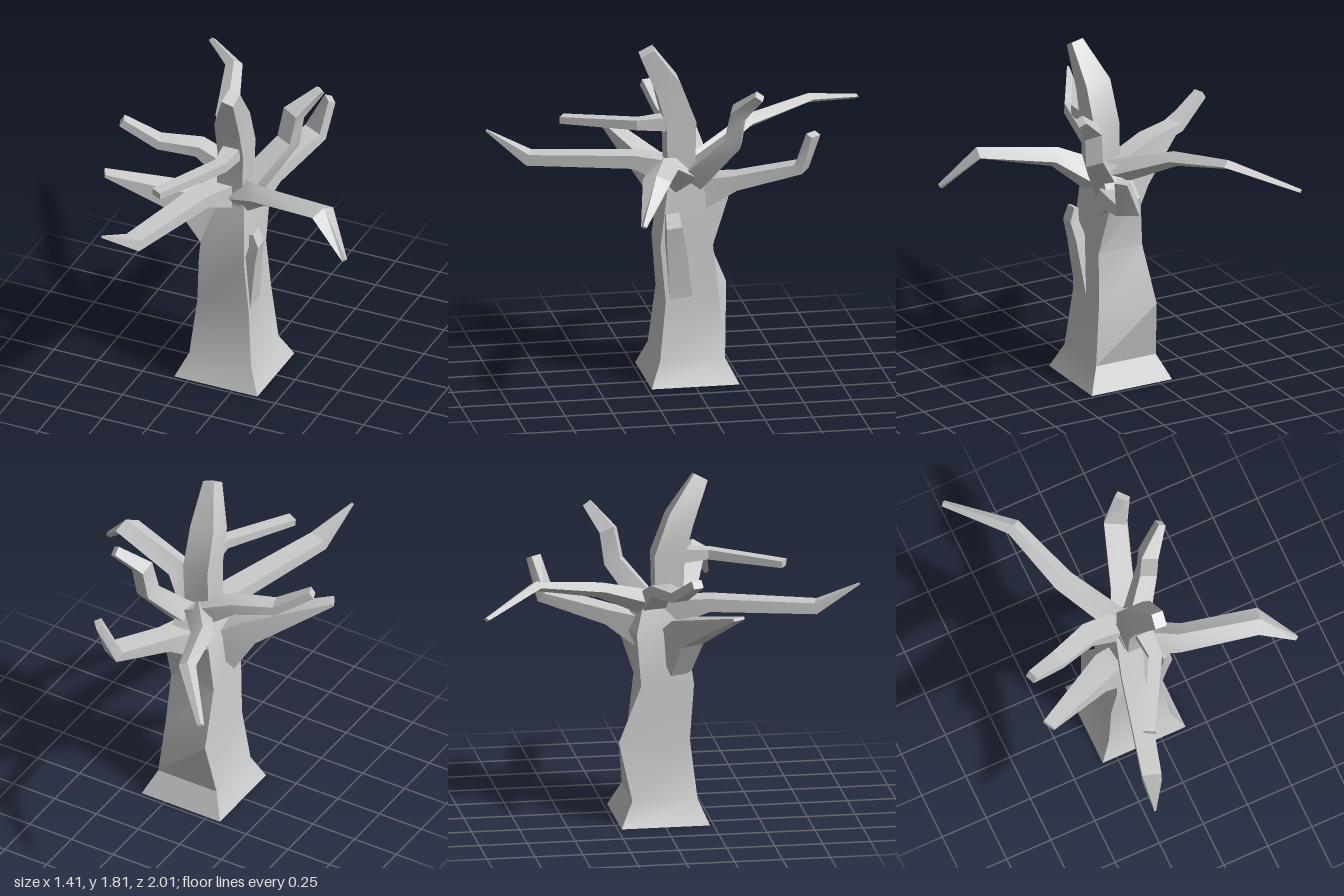
import * as THREE from 'three';
import { toCreasedNormals } from 'three/addons/utils/BufferGeometryUtils.js';

const material = new THREE.MeshStandardMaterial({ color: 0xcccccc });

// Skin a list of four-cornered rings (counter-clockwise about the growth direction) and cap both ends.
function loft(name, rings) {
  const pos = [];
  const quad = (a, b, c, d) => [a, b, c, a, c, d].forEach((p) => pos.push(p.x, p.y, p.z));
  for (let i = 0; i < rings.length - 1; i++) {
    for (let j = 0; j < 4; j++) {
      const k = (j + 1) % 4;
      quad(rings[i][j], rings[i][k], rings[i + 1][k], rings[i + 1][j]);
    }
  }
  const [s, e] = [rings[0], rings[rings.length - 1]];
  quad(s[3], s[2], s[1], s[0]);
  quad(e[0], e[1], e[2], e[3]);
  const geo = new THREE.BufferGeometry();
  geo.setAttribute('position', new THREE.Float32BufferAttribute(pos, 3));
  const mesh = new THREE.Mesh(toCreasedNormals(geo, 0.4), material);
  mesh.name = name;
  return mesh;
}

// Four-sided limb along points [x, y, z, halfWidth, halfHeight]; diamond limbs carry a ridge on top.
function limb(name, points, { diamond = false, ref = [0, 1, 0] } = {}) {
  const centres = points.map((p) => new THREE.Vector3(p[0], p[1], p[2]));
  const up0 = new THREE.Vector3(...ref);
  const corners = diamond ? [[1, 0], [0, 1], [-1, 0], [0, -1]] : [[1, -1], [1, 1], [-1, 1], [-1, -1]];
  const rings = centres.map((c, i) => {
    const t = new THREE.Vector3();
    if (i > 0) t.add(c.clone().sub(centres[i - 1]).normalize());
    if (i < centres.length - 1) t.add(centres[i + 1].clone().sub(c).normalize());
    t.normalize();
    const side = up0.clone().cross(t).normalize();
    const up = t.clone().cross(side);
    const [, , , w, h] = points[i];
    return corners.map(([a, b]) => c.clone().addScaledVector(side, a * w).addScaledVector(up, b * h));
  });
  return loft(name, rings);
}

export function createModel() {
  const tree = new THREE.Group();
  tree.name = 'bareTree';

  // Trunk: [y, left x, right x, front z, back z at right x, back z at left x]
  const levels = [
    [0, -0.33, 0.14, 0.23, -0.23, -0.23],
    [0.13, -0.27, 0.08, 0.175, -0.165, -0.165],
    [0.44, -0.24, 0.05, 0.14, -0.14, -0.23],
    [0.73, -0.22, 0.035, 0.165, -0.11, -0.11],
    [1.0, -0.2, 0.02, 0.13, -0.2, -0.13],
    [1.18, -0.14, 0.0, 0.1, -0.08, -0.08],
  ];
  tree.add(loft('trunk', levels.map(([y, l, r, f, br, bl]) => [
    new THREE.Vector3(l, y, f), new THREE.Vector3(r, y, f),
    new THREE.Vector3(r, y, br), new THREE.Vector3(l, y, bl),
  ])));

  // Central spike leaning forward, and the blunt twig that leaves it
  tree.add(limb('centralSpike', [
    [-0.07, 1.0, 0.05, 0.07, 0.07], [-0.06, 1.38, 0.05, 0.073, 0.078],
    [-0.055, 1.58, 0.115, 0.07, 0.068], [-0.01, 1.78, 0.23, 0.033, 0.04],
  ], { ref: [0, 0, 1] }));
  tree.add(limb('spikeTwig', [
    [-0.05, 1.38, 0.08, 0.05, 0.04], [-0.05, 1.38, 0.27, 0.035, 0.026], [-0.25, 1.365, 0.63, 0.032, 0.018],
  ]));

  // Main branches around the crown
  tree.add(limb('leftBranch', [
    [-0.05, 1.08, 0.04, 0.1, 0.1], [0.14, 1.19, 0.17, 0.08, 0.055],
    [0.53, 1.25, 0.275, 0.075, 0.035], [0.7, 1.06, 0.375, 0.016, 0.016],
  ], { diamond: true }));
  tree.add(limb('frontBranch', [
    [-0.08, 1.08, 0.0, 0.07, 0.08], [-0.17, 1.15, 0.26, 0.06, 0.035],
    [-0.31, 1.145, 0.79, 0.05, 0.03], [-0.39, 1.28, 1.0, 0.005, 0.005],
  ]));
  tree.add(limb('backBranch', [
    [-0.06, 1.0, -0.08, 0.08, 0.08], [0.0, 1.06, -0.24, 0.06, 0.04],
    [0.11, 1.15, -0.56, 0.06, 0.03], [0.17, 1.34, -0.61, 0.035, 0.02],
  ]));
  tree.add(limb('backLeftBranch', [
    [-0.04, 1.08, -0.02, 0.06, 0.06], [0.12, 1.31, -0.2, 0.045, 0.045],
    [0.14, 1.47, -0.225, 0.045, 0.04], [0.25, 1.585, -0.315, 0.02, 0.025],
  ], { ref: [-0.3, 0.2, 1] }));
  tree.add(limb('longBackRightBranch', [
    [-0.08, 1.13, -0.03, 0.07, 0.07], [-0.29, 1.28, -0.34, 0.06, 0.04],
    [-0.41, 1.35, -0.69, 0.045, 0.025], [-0.67, 1.26, -0.99, 0.018, 0.012],
  ], { diamond: true }));
  tree.add(limb('rightBranch', [
    [-0.06, 1.12, -0.04, 0.06, 0.06], [-0.3, 1.265, -0.02, 0.055, 0.03],
    [-0.5, 1.285, 0.045, 0.045, 0.025], [-0.68, 1.4, 0.11, 0.028, 0.022],
  ]));

  // Broad low branch that tapers out of the trunk's side
  tree.add(limb('lowRightBranch', [
    [-0.15, 0.87, 0.06, 0.06, 0.12], [-0.29, 1.03, 0.12, 0.07, 0.075], [-0.68, 1.205, 0.325, 0.035, 0.008],
  ]));

  // Short broken stub on the left side
  tree.add(limb('stub', [
    [0.02, 0.46, 0.06, 0.06, 0.03], [0.055, 0.75, 0.09, 0.05, 0.03],
    [0.08, 0.85, 0.105, 0.04, 0.025], [0.065, 0.92, 0.11, 0.035, 0.012],
  ], { ref: [1, 0, 0] }));

  return tree;
}
